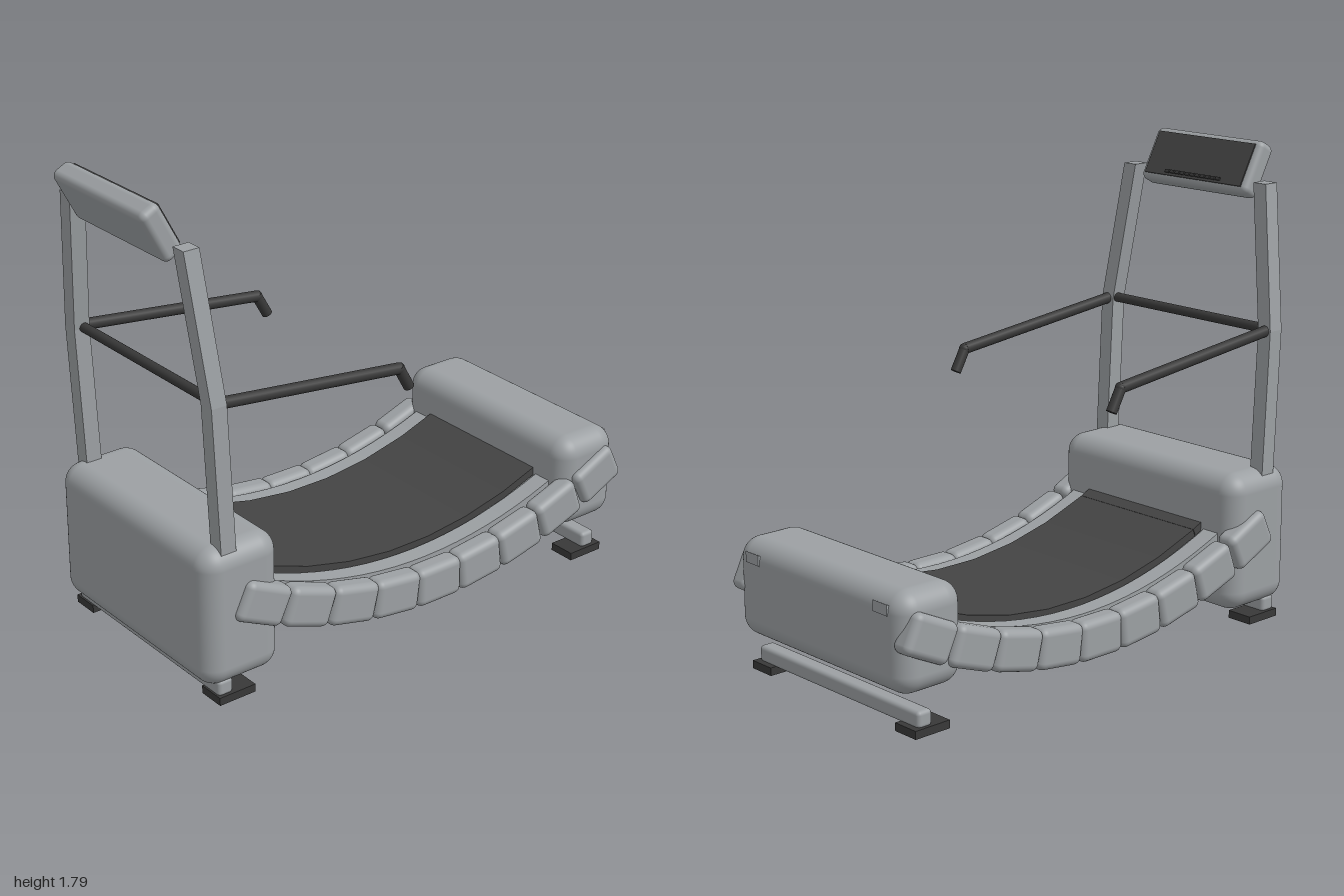
import * as THREE from 'three';
import { RoundedBoxGeometry } from 'three/addons/geometries/RoundedBoxGeometry.js';

export function createModel() {
  const model = new THREE.Group();
  model.name = 'curvedTreadmill';

  const mat = (name, color) => {
    const m = new THREE.MeshStandardMaterial({ color });
    m.name = name;
    return m;
  };
  const grey = mat('grey shell', 0x9ca0a3);
  const dark = mat('dark belt', 0x444444);
  const rubber = mat('black rubber', 0x383838);

  const add = (name, geometry, material, x = 0, y = 0, z = 0, parent = model) => {
    const mesh = new THREE.Mesh(geometry, material);
    mesh.name = name;
    mesh.position.set(x, y, z);
    parent.add(mesh);
    return mesh;
  };
  // round bar between two points
  const bar = (name, a, b, radius) => {
    const from = new THREE.Vector3(...a), dir = new THREE.Vector3(...b).sub(from);
    const mesh = add(name, new THREE.CylinderGeometry(radius, radius, dir.length(), 20), rubber);
    mesh.position.copy(from).addScaledVector(dir, 0.5);
    mesh.quaternion.setFromUnitVectors(new THREE.Vector3(0, 1, 0), dir.normalize());
  };

  // running curve: a shallow parabola along z
  const MID = -0.095, PITCH = 0.195;
  const curveY = z => 0.158 + 0.307 * (z - MID) ** 2;
  const curveAngle = z => Math.atan(0.614 * (z - MID));

  // end housings
  add('frontHousing', new RoundedBoxGeometry(0.92, 0.53, 0.32, 6, 0.075), grey, 0, 0.328, 0.758);
  add('rearHousing', new RoundedBoxGeometry(0.92, 0.365, 0.28, 6, 0.075), grey, 0, 0.328, -0.848);

  // belt slats and padded side blocks follow the curve
  const slat = new THREE.BoxGeometry(0.6, 0.03, 0.2);
  const block = new RoundedBoxGeometry(0.087, 0.15, 0.203, 4, 0.028);
  for (let i = -4; i <= 4; i++) {
    const z = MID + i * PITCH, a = curveAngle(z);
    const stretch = 1 / Math.cos(a);
    const s = add('beltSlat', slat, dark, 0, curveY(z) + 0.067 * Math.cos(a), z - 0.067 * Math.sin(a));
    s.rotation.x = -a;
    s.scale.z = 0.97 * (1 + (stretch - 1) * 0.5);
    for (const side of [-1, 1]) {
      add('sideBlock', block, grey, side * 0.445, curveY(z), z).rotation.x = -a;
    }
  }

  // deck rails: curved strips between belt and blocks
  const profile = new THREE.Shape();
  const N = 24, Z0 = -0.993, Z1 = 0.78;
  const railPoint = (i, offset) => {
    const z = Z0 + (Z1 - Z0) * i / N;
    return new THREE.Vector2(-z, curveY(z) + offset);
  };
  const outline = [];
  for (let i = 0; i <= N; i++) outline.push(railPoint(i, 0.065));
  for (let i = N; i >= 0; i--) outline.push(railPoint(i, 0.025));
  profile.setFromPoints(outline);
  const railGeo = new THREE.ExtrudeGeometry(profile, { depth: 0.072, bevelEnabled: false });
  railGeo.translate(0, 0, -0.036).rotateY(Math.PI / 2);
  for (const side of [-1, 1]) add('deckRail', railGeo, grey, side * 0.35);

  // uprights: square posts, kinked inward above the crossbar
  const posts = [[0.41, 0.45, 0.802], [0.41, 1.115, 0.833], [0.334, 1.65, 0.873]];
  for (const side of [-1, 1]) {
    const geo = new THREE.BoxGeometry(0.06, 2, 0.062, 1, 2, 1);
    const p = geo.attributes.position;
    for (let i = 0; i < p.count; i++) {
      const [x, y, z] = posts[Math.round(p.getY(i)) + 1];
      p.setXYZ(i, side * x + p.getX(i), y, z + p.getZ(i));
    }
    const flat = geo.toNonIndexed();
    flat.computeVertexNormals();
    add('upright', flat, grey);

    // handlebar with a downturned grip
    const x = side * 0.412, bend = [x, 1.026, 0.053];
    bar('handlebar', [x, 1.115, 0.82], bend, 0.021);
    bar('handlebarGrip', [x, 1.034, 0.058], [x, 0.945, 0.008], 0.02);
    add('handlebarElbow', new THREE.SphereGeometry(0.0208, 16, 12), rubber, ...bend);
  }
  bar('crossbar', [-0.4, 1.118, 0.825], [0.4, 1.118, 0.825], 0.018);

  // tilted console with screen and key row facing the runner
  const consoleGroup = new THREE.Group();
  consoleGroup.name = 'console';
  consoleGroup.position.set(0, 1.683, 0.914);
  consoleGroup.rotation.x = 0.49;
  model.add(consoleGroup);
  add('consoleShell', new RoundedBoxGeometry(0.54, 0.212, 0.082, 5, 0.025), grey, 0, 0, 0, consoleGroup);
  add('screen', new THREE.BoxGeometry(0.49, 0.17, 0.008), dark, 0, 0, -0.042, consoleGroup);
  for (let i = -5; i <= 5; i++) {
    add('key', new THREE.BoxGeometry(0.02, 0.012, 0.009), rubber, i * 0.026, -0.07, -0.048, consoleGroup);
  }

  // floor crossbeams and rubber feet
  for (const [beamZ, footZ] of [[0.83, 0.79], [-0.877, -0.855]]) {
    add('baseBeam', new RoundedBoxGeometry(0.88, 0.062, 0.062, 3, 0.015), grey, 0, 0.055, beamZ);
    for (const side of [-1, 1]) {
      add('foot', new THREE.BoxGeometry(0.106, 0.03, 0.15), rubber, side * 0.398, 0.015, footZ);
    }
  }
  return model;
}
